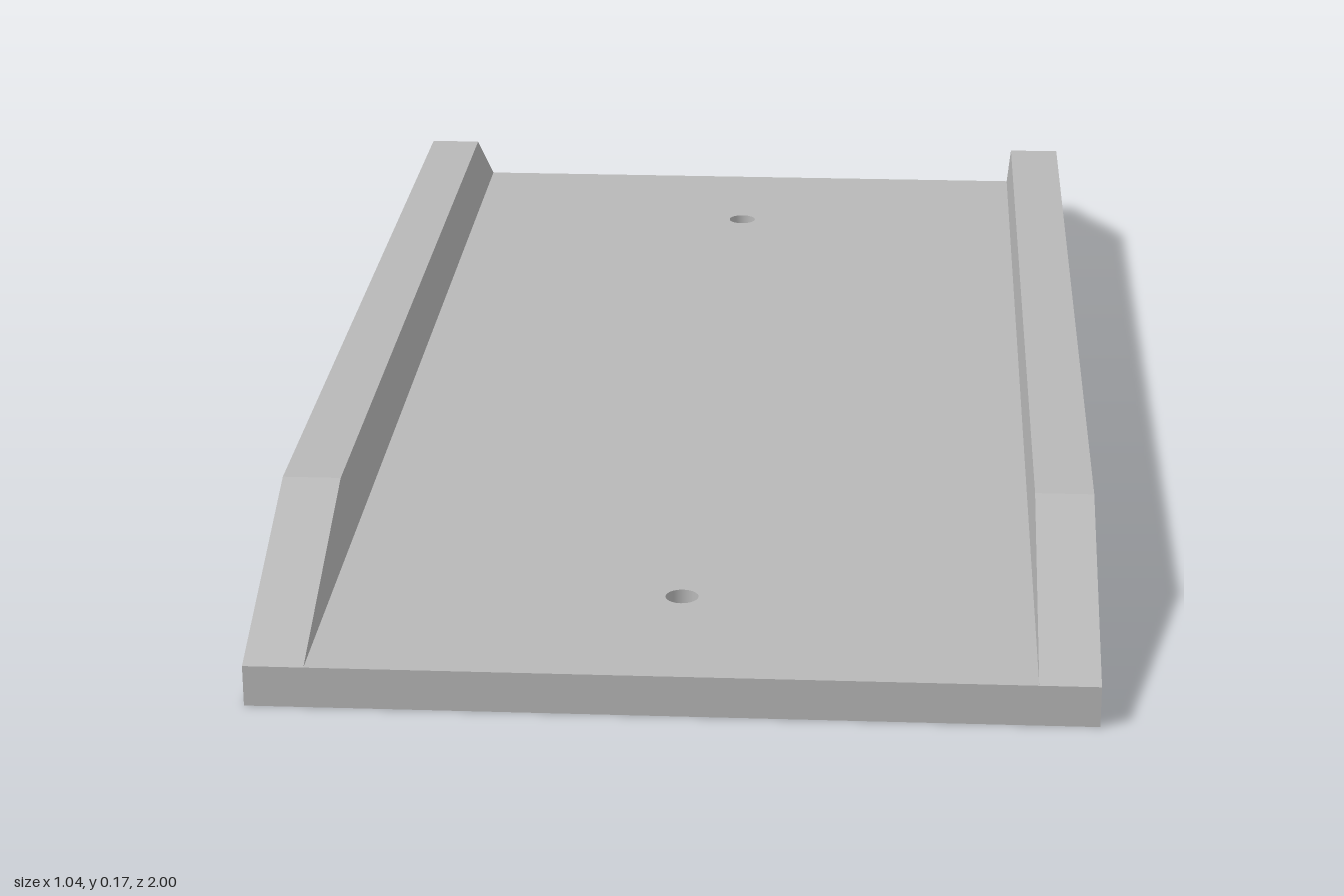
import * as THREE from 'three';

const W = 0.52;       // half width
const INNER = 0.445;  // inner wall of the rails
const T = 0.053;      // deck thickness
const H = 0.17;       // rail height
const HOLE_Z = 0.765;
const R_TOP = 0.021, R_BORE = 0.038, BORE_DEPTH = 0.027;

// Rail height at stations along z: ramp, level run, ramp
const STATIONS = [[-1, T], [-0.8, H], [0.68, H], [1, T]];

// Outer wall, top and inner wall of one rail, swept along the stations
function railGeometry(side) {
  const sections = STATIONS.map(([z, h]) => {
    const pts = [[W, 0], [W, h], [INNER, h], [INNER, T]].map(([x, y]) => [side * x, y, z]);
    return side > 0 ? pts : pts.reverse();
  });
  const pos = [];
  for (let k = 0; k < sections.length - 1; k++) {
    const s = sections[k], n = sections[k + 1];
    for (let i = 0; i < 3; i++) {
      pos.push(...s[i], ...s[i + 1], ...n[i], ...s[i + 1], ...n[i + 1], ...n[i]);
    }
  }
  const geo = new THREE.BufferGeometry();
  geo.setAttribute('position', new THREE.Float32BufferAttribute(pos, 3));
  geo.computeVertexNormals();
  return geo;
}

// Flat rectangle pierced by the two screw holes
function piercedSheet(halfWidth, radius) {
  const shape = new THREE.Shape([
    new THREE.Vector2(-halfWidth, -1), new THREE.Vector2(halfWidth, -1),
    new THREE.Vector2(halfWidth, 1), new THREE.Vector2(-halfWidth, 1),
  ]);
  for (const z of [-HOLE_Z, HOLE_Z]) {
    shape.holes.push(new THREE.Path().absarc(0, z, radius, 0, Math.PI * 2, true));
  }
  return new THREE.ShapeGeometry(shape, 16);
}

export function createModel() {
  const group = new THREE.Group();
  const grey = new THREE.MeshStandardMaterial({ color: 0xb8b8b8 });
  grey.name = 'grey';
  const greyInside = grey.clone();
  greyInside.side = THREE.DoubleSide;

  const add = (name, geo, material = grey) => {
    const mesh = new THREE.Mesh(geo, material);
    mesh.name = name;
    group.add(mesh);
    return mesh;
  };

  // Deck and underside
  add('deckTop', piercedSheet(INNER, R_TOP).rotateX(-Math.PI / 2).translate(0, T, 0));
  add('underside', piercedSheet(W, R_BORE).rotateX(Math.PI / 2));

  // End faces
  add('frontEdge', new THREE.PlaneGeometry(2 * W, T).translate(0, T / 2, 1));
  add('backEdge', new THREE.PlaneGeometry(2 * W, T).rotateY(Math.PI).translate(0, T / 2, -1));

  // Side rails
  add('leftRail', railGeometry(1));
  add('rightRail', railGeometry(-1));

  // Screw holes, counterbored from below
  for (const [name, z] of [['front', HOLE_Z], ['back', -HOLE_Z]]) {
    add(name + 'Counterbore',
      new THREE.CylinderGeometry(R_BORE, R_BORE, BORE_DEPTH, 32, 1, true)
        .translate(0, BORE_DEPTH / 2, z), greyInside);
    add(name + 'CounterboreStep',
      new THREE.RingGeometry(R_TOP, R_BORE, 32).rotateX(Math.PI / 2)
        .translate(0, BORE_DEPTH, z));
    add(name + 'ScrewHole',
      new THREE.CylinderGeometry(R_TOP, R_TOP, T - BORE_DEPTH, 32, 1, true)
        .translate(0, (T + BORE_DEPTH) / 2, z), greyInside);
  }
  return group;
}
